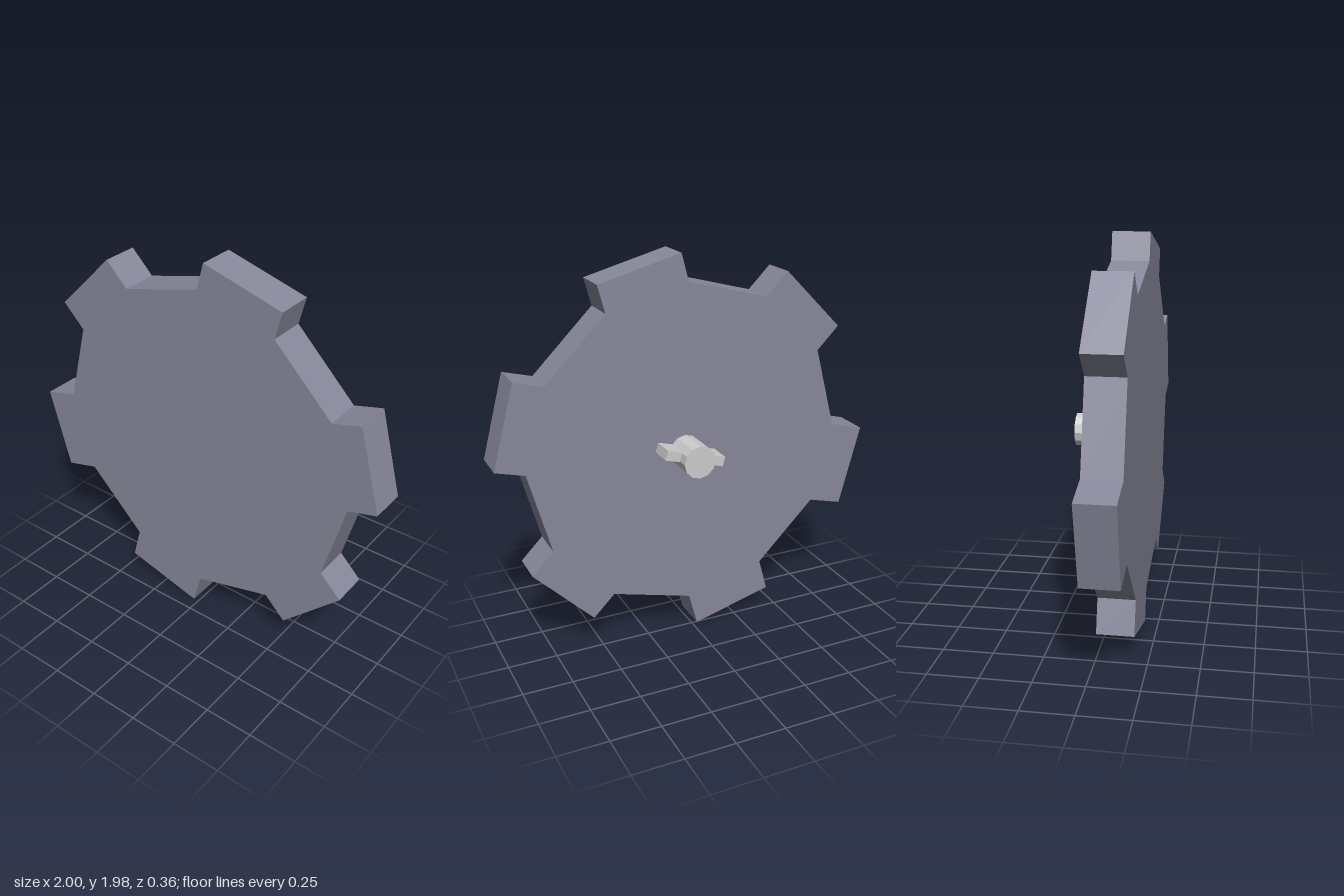
import * as THREE from 'three';

const plateMaterial = new THREE.MeshStandardMaterial({ color: 0x88889c, flatShading: true });
const greyMaterial = new THREE.MeshStandardMaterial({ color: 0xcccccc, flatShading: true });

const BACK = -0.005;   // back face of the gear plate
const FRONT = 0.18;

function part(name, geometry, material, x, y, z) {
  const mesh = new THREE.Mesh(geometry, material);
  mesh.name = name;
  mesh.position.set(x, y, z);
  return mesh;
}

// Twelve-sided disc with a straight tooth on every second side
function gearShape(radius, toothLengths) {
  const step = Math.PI / 6;
  const corner = (k) => new THREE.Vector2(radius * Math.cos(k * step), radius * Math.sin(k * step));
  const points = [];
  toothLengths.forEach((length, i) => {
    const k = i * 2;
    const a = corner(k), b = corner(k + 1);
    const mid = (k + 0.5) * step;
    const out = new THREE.Vector2(Math.cos(mid), Math.sin(mid)).multiplyScalar(length);
    points.push(a, a.clone().add(out), b.clone().add(out), b);
  });
  return new THREE.Shape(points);
}

export function createModel() {
  const group = new THREE.Group();
  group.name = 'gearWheel';

  // Gear plate, with slightly uneven teeth
  const shape = gearShape(0.835, [0.152, 0.141, 0.163, 0.187, 0.175, 0.157]);
  const plate = new THREE.ExtrudeGeometry(shape, { depth: FRONT - BACK, bevelEnabled: false });
  group.add(part('gearPlate', plate, plateMaterial, 0.017, 1.009, BACK));

  // Axle stub on the back
  const axleLength = 0.175;
  const axle = new THREE.CylinderGeometry(0.083, 0.083, axleLength, 12).rotateX(Math.PI / 2);
  group.add(part('axle', axle, greyMaterial, 0.038, 1, BACK - axleLength / 2));

  // Tilted cross key through the axle
  const keyDepth = 0.12;
  const key = new THREE.BoxGeometry(0.318, 0.05, keyDepth).rotateZ(Math.PI / 12);
  group.add(part('crossKey', key, greyMaterial, 0.036, 1, BACK - keyDepth / 2));

  return group;
}
